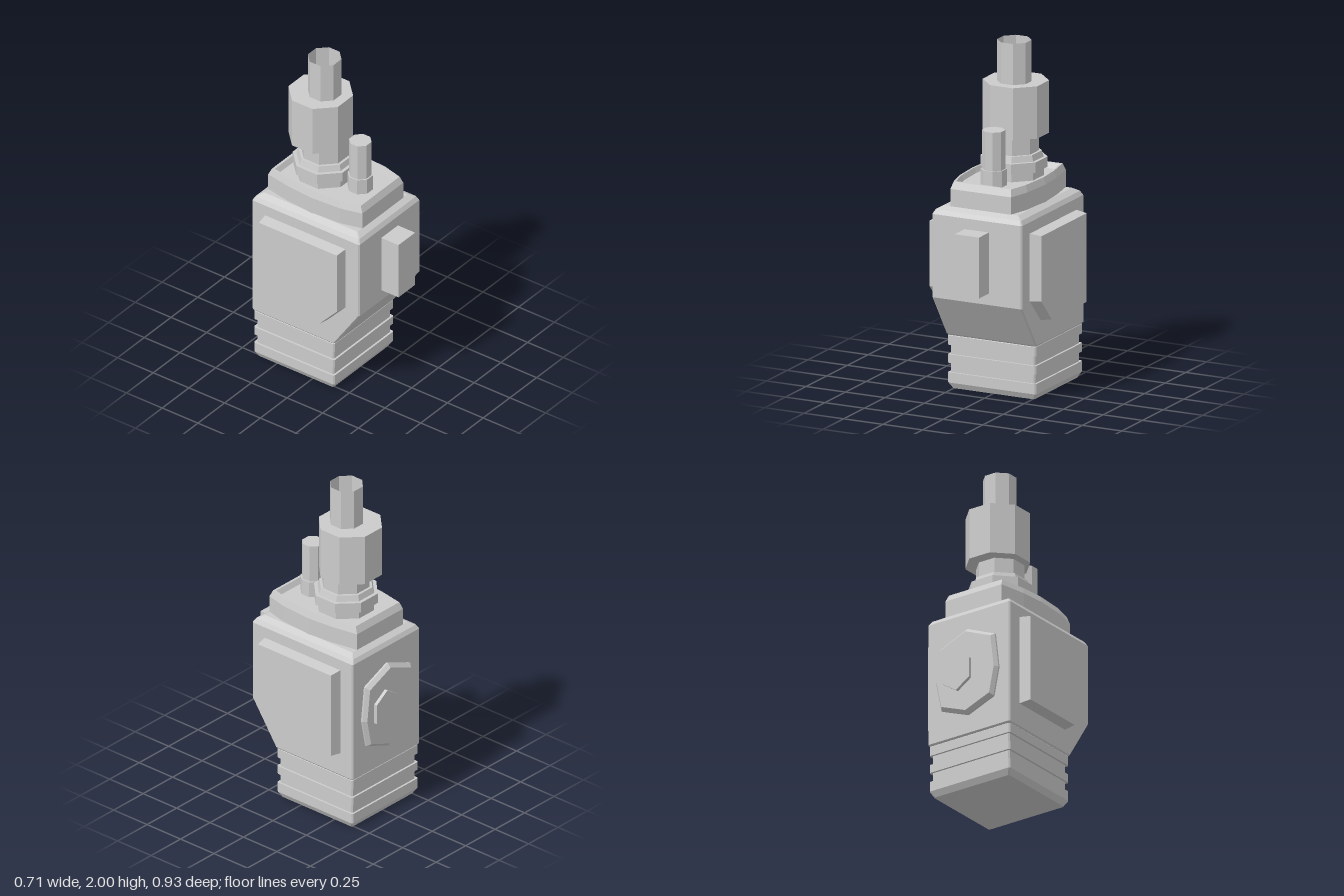
import * as THREE from 'three';

const material = new THREE.MeshStandardMaterial({ color: 0xcccccc, flatShading: true, side: THREE.DoubleSide });

// Skin a stack of matching convex rings (arrays of [x, y, z], turning from +x to +z) and cap both ends.
function loft(rings) {
  const n = rings[0].length;
  const pos = [];
  const tri = (a, b, c) => pos.push(...a, ...b, ...c);
  for (let i = 0; i < rings.length - 1; i++) {
    const lo = rings[i], hi = rings[i + 1];
    for (let j = 0; j < n; j++) {
      const k = (j + 1) % n;
      tri(lo[j], hi[j], lo[k]);
      tri(lo[k], hi[j], hi[k]);
    }
  }
  const first = rings[0], last = rings[rings.length - 1];
  for (let j = 1; j < n - 1; j++) {
    tri(first[0], first[j], first[j + 1]);
    tri(last[0], last[j + 1], last[j]);
  }
  const g = new THREE.BufferGeometry();
  g.setAttribute('position', new THREE.Float32BufferAttribute(pos, 3));
  g.computeVertexNormals();
  return g;
}

// Rectangle with slightly cut corners at height y.
function rectRing(y, hx, back, front, c) {
  return [
    [hx, y, back + c], [hx, y, front - c], [hx - c, y, front], [-hx + c, y, front],
    [-hx, y, front - c], [-hx, y, back + c], [-hx + c, y, back], [hx - c, y, back],
  ];
}

// Flat outline placed at height y, scaled about its centre.
function outlineRing(points, y, scale, cx, cz) {
  return points.map(([x, z]) => [cx + (x - cx) * scale, y, cz + (z - cz) * scale]);
}

export function createModel() {
  const model = new THREE.Group();
  const add = (name, geometry) => {
    const mesh = new THREE.Mesh(geometry, material);
    mesh.name = name;
    model.add(mesh);
    return mesh;
  };

  // Ribbed square base: [height, inset]
  const ribs = [
    [0, 0.02], [0.035, 0], [0.095, 0], [0.095, 0.012], [0.15, 0.012], [0.15, 0],
    [0.2, 0], [0.2, 0.012], [0.255, 0.012], [0.255, 0], [0.31, 0], [0.32, 0.008],
  ];
  add('ribbedBase', loft(ribs.map(([y, d]) => rectRing(y, 0.28 - d, -0.4 + d, 0.165 - d, 0.008))));

  // Main housing with sloped lower front and bevelled shoulders
  add('housing', loft([
    rectRing(0.312, 0.277, -0.397, 0.162, 0.008),
    rectRing(0.322, 0.285, -0.407, 0.172, 0.008),
    rectRing(0.575, 0.285, -0.407, 0.345, 0.008),
    rectRing(1.06, 0.285, -0.407, 0.345, 0.008),
    rectRing(1.085, 0.27, -0.393, 0.33, 0.006),
    rectRing(1.105, 0.235, -0.36, 0.295, 0.004),
  ]));

  // Bowed collar with a shallow recess in its top
  const half = [[0.195, -0.36], [0.225, -0.19], [0.238, -0.035], [0.225, 0.165], [0.192, 0.297]];
  const bowed = [...half, ...half.map(([x, z]) => [-x, z]).reverse()];
  add('collar', loft([[1.09, 1], [1.12, 1], [1.205, 1], [1.245, 0.945], [1.245, 0.9], [1.215, 0.85]]
    .map(([y, s]) => outlineRing(bowed, y, s, 0, -0.032))));

  // Side panels, tapering slightly outward, with one clipped corner; points are [z, y]
  const panel = [[0.25, 0.6], [0.25, 0.995], [-0.315, 0.995], [-0.315, 0.46], [0.12, 0.46]];
  for (const s of [1, -1]) {
    const pts = s > 0 ? panel : panel.map(([z, y]) => [-z, y]).reverse();
    const rings = [[0.28, 1], [0.355, 0.965]].map(([d, k]) => outlineRing(pts, d, k, -0.03 * s, 0.73));
    const g = loft(rings);
    g.applyMatrix4(new THREE.Matrix4().makeBasis(
      new THREE.Vector3(0, 0, s), new THREE.Vector3(s, 0, 0), new THREE.Vector3(0, 1, 0)));
    add(s > 0 ? 'leftSidePanel' : 'rightSidePanel', g);
  }

  // Front block
  const block = add('frontBlock', new THREE.BoxGeometry(0.155, 0.355, 0.13));
  block.position.set(0, 0.82, 0.4);

  // Back plate and its off-centre button; points are [x, y]
  const plate = [[0.215, 0.67], [0.19, 0.88], [0, 0.96], [-0.19, 0.88], [-0.215, 0.67], [-0.18, 0.5], [0, 0.43], [0.18, 0.5]];
  const button = [[0.14, 0.64], [0.14, 0.76], [0.05, 0.82], [-0.04, 0.76], [-0.04, 0.64], [0.05, 0.58]];
  add('backPlate', loft([[0.4, 1], [0.418, 1], [0.44, 0.92]]
    .map(([d, k]) => outlineRing(plate, d, k, 0, 0.68))).rotateX(-Math.PI / 2));
  add('backButton', loft([[0.435, 1], [0.46, 1]]
    .map(([d, k]) => outlineRing(button, d, k, 0.05, 0.7))).rotateX(-Math.PI / 2));

  // Eight-sided drum with flats facing the axes; radii are measured to the flats
  const drum = (name, x, z, y0, y1, r0, r1 = r0, open = false) => {
    const k = 1 / Math.cos(Math.PI / 8);
    const g = new THREE.CylinderGeometry(r1 * k, r0 * k, y1 - y0, 8, 1, open).rotateY(Math.PI / 8);
    add(name, g).position.set(x, (y0 + y1) / 2, z);
  };

  // Main stem
  drum('stemFoot', 0, -0.105, 1.21, 1.265, 0.155);
  drum('stemFlange', 0, -0.105, 1.265, 1.325, 0.175);
  drum('stemFlangeTop', 0, -0.105, 1.325, 1.36, 0.155, 0.145);
  drum('stemNeck', 0, -0.105, 1.36, 1.46, 0.13);
  drum('stemNut', -0.004, -0.135, 1.455, 1.76, 0.173);
  drum('stemTube', 0, -0.11, 1.755, 2, 0.09, 0.09, true);

  // Small front pin
  drum('pinFoot', 0, 0.14, 1.21, 1.31, 0.068);
  drum('pin', 0, 0.14, 1.31, 1.535, 0.06);

  return model;
}
